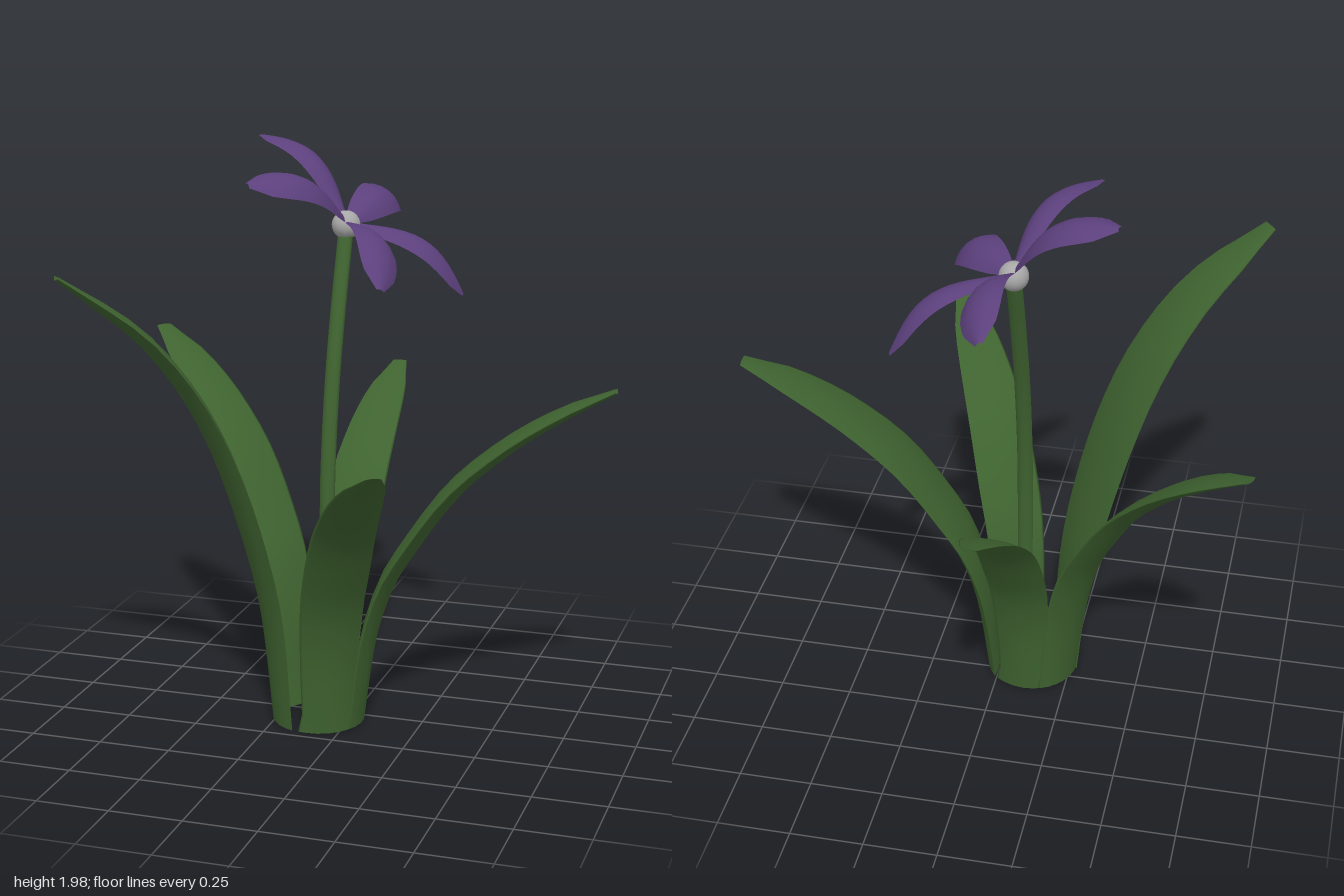
import * as THREE from 'three';

const mat = (name, color, side = THREE.FrontSide) => {
  const m = new THREE.MeshStandardMaterial({ color, side });
  m.name = name;
  return m;
};

// Spline through a few [a, b] points
const spline = (pts) => new THREE.SplineCurve(pts.map(([a, b]) => new THREE.Vector2(a, b)));
// Half-width along a part, from evenly spaced values
const widths = (values) => spline(values.map((w, i) => [i, w]));

// Curved sheet: rule(t along 0..1, v across -1..1) gives each vertex
function sheet(along, across, rule) {
  const g = new THREE.PlaneGeometry(1, 1, across, along);
  const p = g.attributes.position;
  for (let i = 0; i < p.count; i++) {
    p.setXYZ(i, ...rule(p.getY(i) + 0.5, p.getX(i) * 2));
  }
  g.computeVertexNormals();
  return g;
}

// Leaf centre lines as [distance from axis, height]
const bentLeaf = [[0.16, 0.01], [0.2, 0.3], [0.26, 0.5], [0.34, 0.64], [0.48, 0.84], [0.65, 1.0], [0.82, 1.12], [0.99, 1.22]];
const tallLeaf = [[0.16, 0.01], [0.2, 0.4], [0.265, 0.68], [0.36, 0.97], [0.47, 1.2], [0.61, 1.39], [0.77, 1.53], [0.88, 1.62]];
const leafWidth = widths([0.76, 0.82, 0.88, 0.94, 0.99, 1, 0.97, 0.9, 0.79, 0.6, 0.24]);
const petalWidth = widths([0.02, 0.042, 0.06, 0.072, 0.079, 0.08, 0.074, 0.056, 0.014]);
const AXIS = { x: -0.11, z: 0.06 };

// Fleshy leaf, round outside and nearly flat inside, reaching out to a tip
function leafGeometry([tx, ty, tz], half, profile) {
  const dx = tx - AXIS.x, dz = tz - AXIS.z, reach = Math.hypot(dx, dz);
  const [endR, endY] = profile[profile.length - 1];
  const sr = (reach - 0.16) / (endR - 0.16), sy = ty / endY;
  const curve = spline(profile.map(([r, y]) => [0.16 + (r - 0.16) * sr, y * sy]));
  const c = dx / reach, s = dz / reach;
  return sheet(20, 16, (t, u) => {
    const p = curve.getPointAt(t), d = curve.getTangentAt(t);
    const base = 0.1 * Math.max(0, 1 - t / 0.4);
    const w = Math.max(leafWidth.getPoint(t).y * half, base);
    const v = Math.cos(Math.PI * u);
    const depth = w * (u < 0 ? 0.3 * v * v : 0.3 + 0.12 * (1 - v * v));
    const r = p.x - d.y * depth, y = p.y + d.x * depth;
    return [AXIS.x + c * r - s * w * v, y, AXIS.z + s * r + c * w * v];
  });
}

export function createModel() {
  const group = new THREE.Group();
  const green = mat('leaf green', 0x3f6330, THREE.DoubleSide);
  const purple = mat('petal purple', 0x5c407d, THREE.DoubleSide);
  const grey = mat('centre grey', 0xa8a8a8);
  const add = (parent, name, geometry, material) => {
    const mesh = new THREE.Mesh(geometry, material);
    mesh.name = name;
    parent.add(mesh);
    return mesh;
  };

  // Five leaves in a ring
  const leaves = [
    ['backLeaf', [-0.07, 1.1, -0.81], 0.107, bentLeaf],
    ['backRightLeaf', [-0.89, 1.25, -0.48], 0.122, bentLeaf],
    ['leftLeaf', [0.89, 1.22, -0.05], 0.142, bentLeaf],
    ['frontRightLeaf', [-0.83, 1.61, 0.56], 0.14, tallLeaf],
    ['frontLeaf', [0.31, 1.1, 0.8], 0.112, bentLeaf],
  ];
  for (const [name, tip, half, profile] of leaves) {
    add(group, name, leafGeometry(tip, half, profile), green);
  }

  // Flattened stem leaning backwards towards the flower
  const stem = new THREE.CatmullRomCurve3([
    [-0.078, 0.03, 0.065], [-0.078, 0.5, 0.065], [-0.078, 0.9, 0.05],
    [-0.078, 1.2, 0], [-0.078, 1.45, -0.07], [-0.078, 1.71, -0.16],
  ].map((p) => new THREE.Vector3(...p)));
  add(group, 'stem', sheet(20, 10, (t, u) => {
    const p = stem.getPointAt(t);
    return [p.x + 0.027 * Math.cos(Math.PI * u), p.y, p.z + 0.02 * Math.sin(Math.PI * u)];
  }), green);

  // Flower tilted to the left side
  const flower = new THREE.Group();
  flower.name = 'flower';
  flower.position.set(-0.072, 1.725, -0.16);
  flower.rotation.z = -0.62;
  group.add(flower);
  add(flower, 'flowerCentre', new THREE.SphereGeometry(0.049, 16, 12), grey).position.y = -0.012;

  // Five arched petals
  const petal = sheet(14, 6, (t, v) => {
    const w = petalWidth.getPoint(t).y;
    const arch = 0.08 * Math.sin(Math.PI * Math.pow(t, 1.1));
    return [0.02 + 0.45 * t, 0.01 + arch - 0.4 * w * v * v, -w * v];
  });
  for (let i = 0; i < 5; i++) {
    add(flower, 'petal' + (i + 1), petal, purple).rotation.y = Math.PI / 2 + (i * Math.PI * 2) / 5;
  }
  return group;
}
